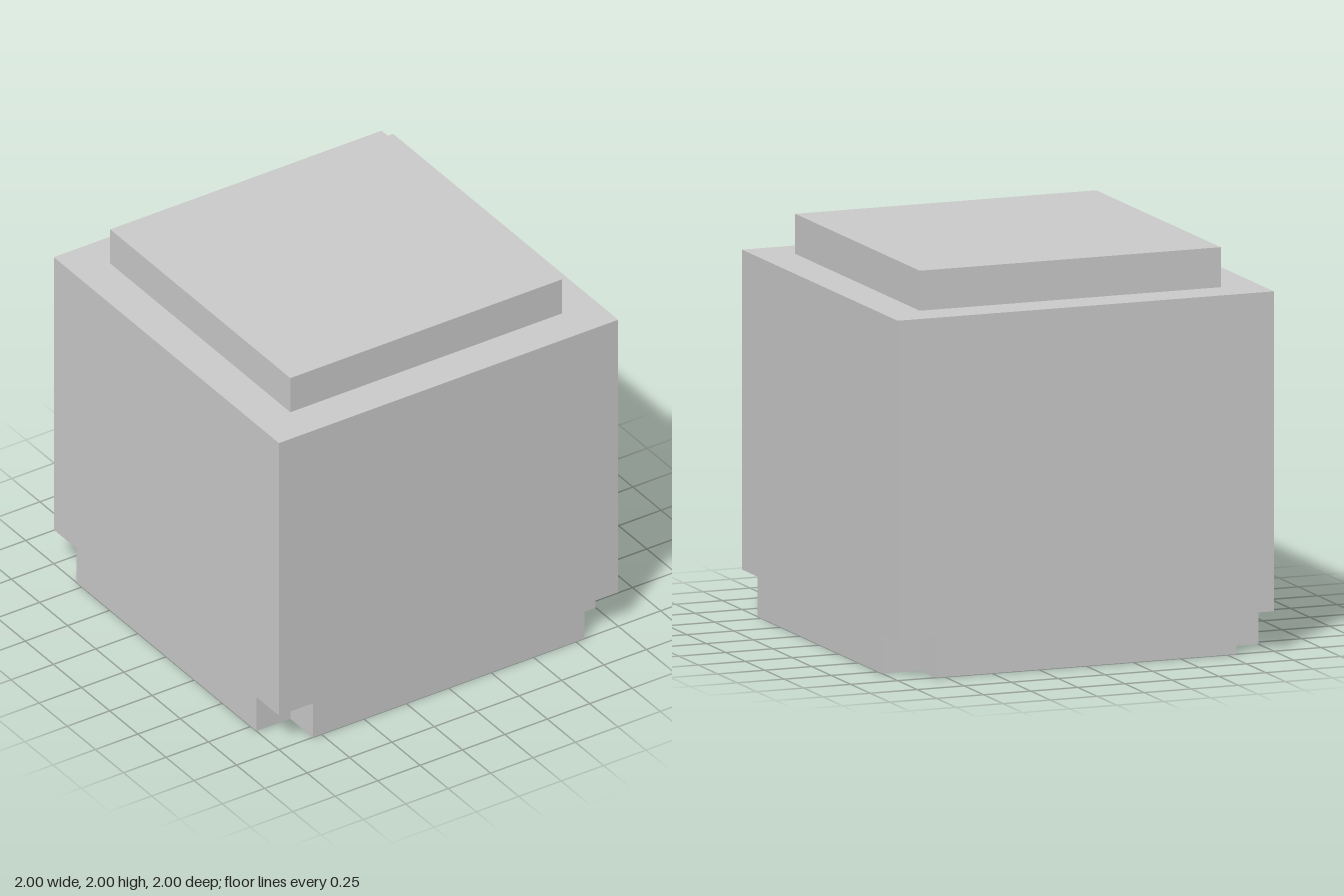
import * as THREE from 'three';

export function createModel() {
  const group = new THREE.Group();
  const material = new THREE.MeshStandardMaterial({ color: 0xcccccc, flatShading: true });

  const add = (name, geometry, y) => {
    const mesh = new THREE.Mesh(geometry, material);
    mesh.name = name;
    mesh.position.y = y;
    group.add(mesh);
  };

  // Base layer: a square with a notch cut from each corner
  const outer = 1, inner = 0.8, step = 0.2;
  const outline = [];
  for (let i = 0; i < 4; i++) {
    for (const [x, y] of [[outer, -inner], [outer, inner], [inner, inner]]) {
      outline.push(new THREE.Vector2(x, y).rotateAround(new THREE.Vector2(), i * Math.PI / 2));
    }
  }
  const base = new THREE.ExtrudeGeometry(new THREE.Shape(outline), { depth: step, bevelEnabled: false });
  base.rotateX(-Math.PI / 2);
  add('notchedBase', base, 0);

  // Main block
  add('body', new THREE.BoxGeometry(2 * outer, 1.6, 2 * outer), 1);

  // Raised square on top
  add('topPlate', new THREE.BoxGeometry(2 * inner, step, 2 * inner), 1.9);

  return group;
}
